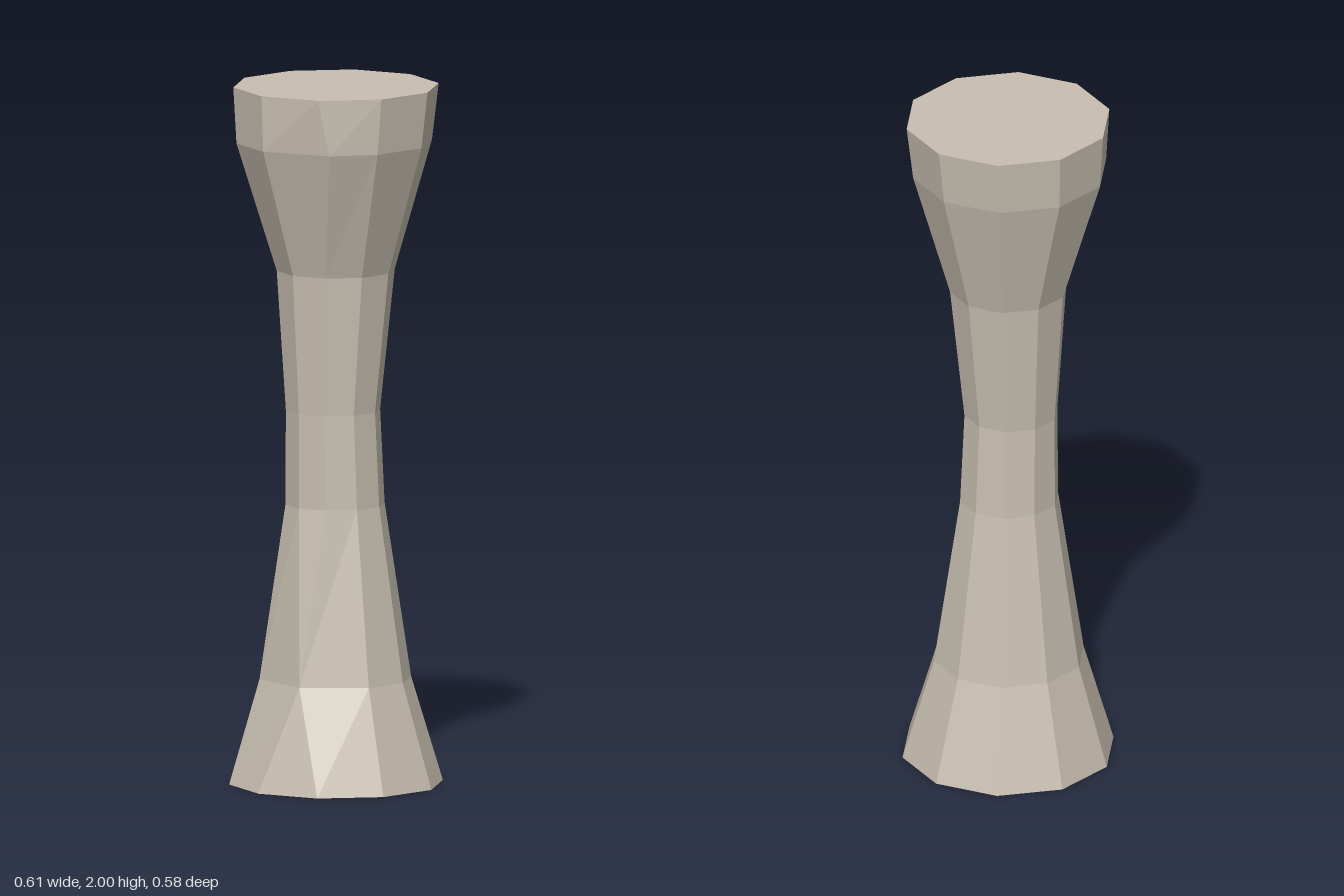
import * as THREE from 'three';

const SIDES = 10;

// Rings from foot to top: height, radius, small centre shift, and
// [corner, new corner position] nudges that make the stone look hand-cut.
const RINGS = [
  { y: 0, r: 0.306 },
  { y: 0.3, r: 0.217, z: -0.003, nudge: [[4, 4.5], [5, 4.5]] },
  { y: 0.8, r: 0.142, z: -0.004 },
  { y: 1.07, r: 0.135, x: -0.007, z: -0.005 },
  { y: 1.47, r: 0.169, x: 0.003, z: -0.004 },
  { y: 1.84, r: 0.28, x: -0.007, nudge: [[4, 3.8]] },
  { y: 2, r: 0.294 },
];

function ringPoints({ y, r, x = 0, z = 0, nudge = [] }) {
  const moved = new Map(nudge);
  return Array.from({ length: SIDES }, (_, i) => {
    const a = ((moved.get(i) ?? i) / SIDES) * Math.PI * 2;
    return new THREE.Vector3(x + r * Math.cos(a), y, z + r * Math.sin(a));
  });
}

// Non-indexed triangles give every facet its own flat normal.
function facets(triangles) {
  const solid = triangles.filter(([a, b, c]) => new THREE.Triangle(a, b, c).getArea() > 1e-7);
  const geometry = new THREE.BufferGeometry().setFromPoints(solid.flat());
  geometry.computeVertexNormals();
  return geometry;
}

function cap(points, up) {
  const centre = new THREE.Vector3(0, points[0].y, 0);
  return facets(points.map((p, i) => {
    const q = points[(i + 1) % SIDES];
    return up ? [centre, q, p] : [centre, p, q];
  }));
}

export function createModel() {
  const stone = new THREE.MeshStandardMaterial({ color: 0xc8bfb1, flatShading: true });
  stone.name = 'paleStone';
  const dark = new THREE.MeshStandardMaterial({ color: 0x141414, flatShading: true });
  dark.name = 'darkUnderside';

  const model = new THREE.Group();
  model.name = 'waistedColumn';
  const add = (name, geometry, material) => {
    const mesh = new THREE.Mesh(geometry, material);
    mesh.name = name;
    model.add(mesh);
  };

  // Faceted bands between neighbouring rings
  const rings = RINGS.map(ringPoints);
  const names = ['foot', 'lowerShaft', 'waist', 'upperShaft', 'flare', 'rim'];
  names.forEach((name, k) => {
    const triangles = [];
    for (let i = 0; i < SIDES; i++) {
      const j = (i + 1) % SIDES;
      const a = rings[k][i], b = rings[k][j], c = rings[k + 1][j], d = rings[k + 1][i];
      triangles.push([b, a, d], [b, d, c]);
    }
    add(name, facets(triangles), stone);
  });

  // Flat ends
  add('topFace', cap(rings[rings.length - 1], true), stone);
  add('underside', cap(rings[0], false), dark);
  return model;
}
